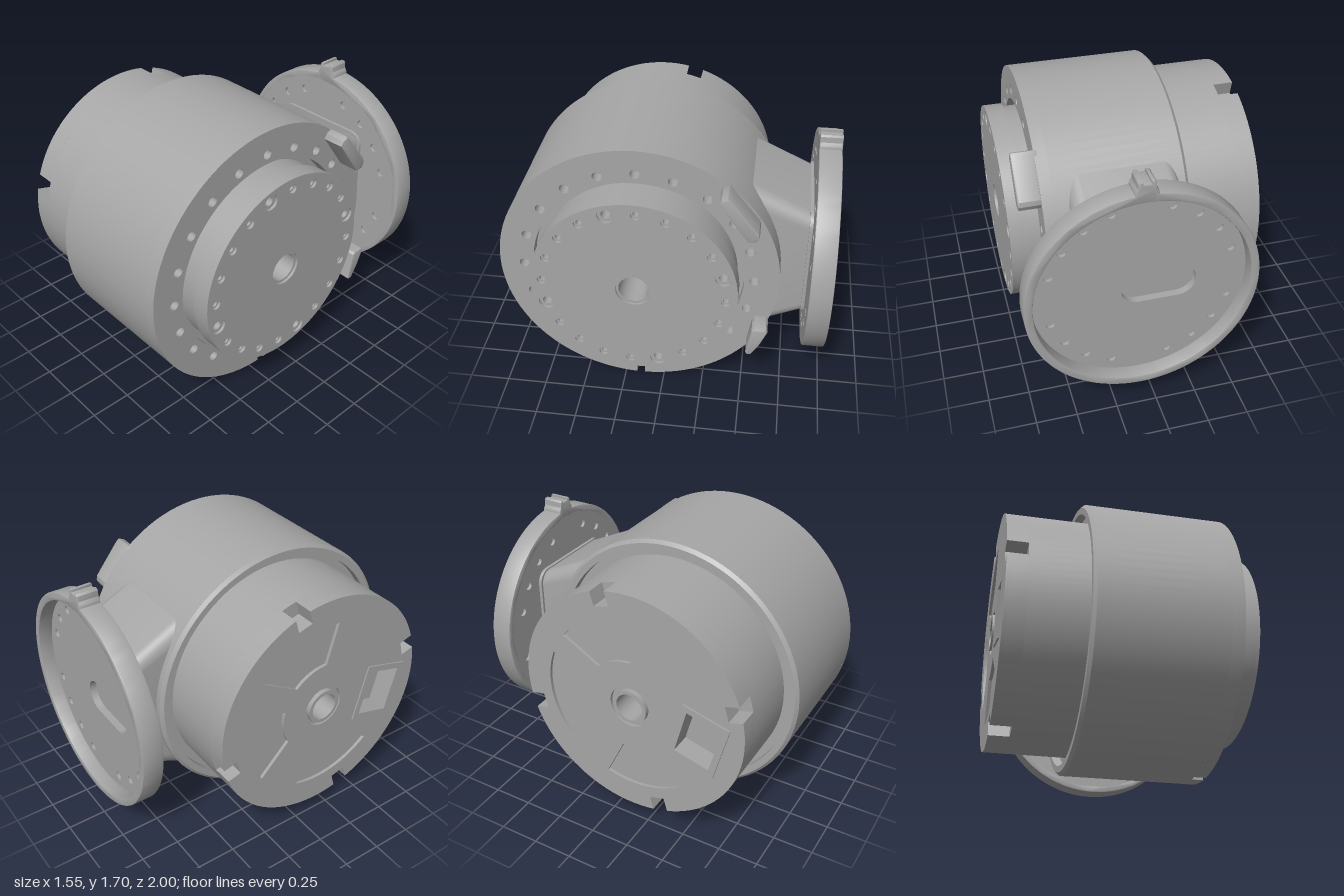
import * as THREE from 'three';
import { toCreasedNormals } from 'three/addons/utils/BufferGeometryUtils.js';

const CY = 0.852, CZ = 0.152; // height and depth of the main axis, which runs along x
const FX = 0.09, FY = 0.86; // centre of the rear mounting flange
const RAD = Math.PI / 180;

export function createModel() {
  const group = new THREE.Group();
  group.name = 'actuator';
  const metal = new THREE.MeshStandardMaterial({ color: 0xa6a6a6 });
  metal.name = 'grey metal';

  const add = (name, geometry) => {
    const mesh = new THREE.Mesh(toCreasedNormals(geometry, 0.5), metal);
    mesh.name = name;
    group.add(mesh);
    return mesh;
  };

  // Polar point: angle in degrees from up, positive towards the back (or +x on the flange)
  const polar = (r, deg) => new THREE.Vector2(Math.sin(deg * RAD) * r, Math.cos(deg * RAD) * r);
  const arc = (r, a, b, n) => Array.from({ length: n + 1 }, (_, i) => polar(r, a + ((b - a) * i) / n));
  const circle = (r, n = 96, c = new THREE.Vector2()) => arc(r, 0, 360 - 360 / n, n - 1).map((p) => p.add(c));
  // Outlines run counter-clockwise and holes clockwise, so that all walls face outwards
  const wind = (points, clockwise) =>
    THREE.ShapeUtils.isClockWise(points) === clockwise ? points : points.slice().reverse();
  const shapeOf = (points, holes = []) => {
    const s = new THREE.Shape(wind(points, false));
    s.holes = holes.map((h) => new THREE.Path(wind(h, true)));
    return s;
  };
  const extrude = (shape, depth, bevel = 0) =>
    new THREE.ExtrudeGeometry(shape, {
      depth: depth - 2 * bevel, bevelEnabled: bevel > 0, bevelSize: bevel,
      bevelThickness: bevel, bevelOffset: -bevel, bevelSegments: 2,
    }).translate(0, 0, bevel);
  // Plate across the main axis; shape x points to the back
  const plateX = (name, shape, x0, x1, bevel) =>
    add(name, extrude(shape, x1 - x0, bevel).rotateY(Math.PI / 2).translate(x0, CY, CZ));
  // Plate of the mounting flange, across z
  const plateZ = (name, shape, z0, z1, bevel) =>
    add(name, extrude(shape, z1 - z0, bevel).translate(FX, FY, z0));
  // Turned part around the main axis from a closed [radius, x] profile
  const turned = (name, profile) => {
    const pts = [...profile, profile[0]].map(([r, x]) => new THREE.Vector2(r, x));
    return add(name, new THREE.LatheGeometry(pts, 96).rotateZ(-Math.PI / 2).translate(0, CY, CZ));
  };

  // Main housing drum with a recess around the rear housing
  turned('mainHousing', [
    [0.09, -0.24], [0.79, -0.24], [0.79, -0.295], [0.83, -0.295],
    [0.85, -0.275], [0.85, 0.5], [0.09, 0.5],
  ]);

  // Front rim of the drum with its bolt circle and bottom notch
  const rim = [
    ...arc(0.85, 181.7, 538.3, 96),
    new THREE.Vector2(0.025, -0.785), new THREE.Vector2(-0.025, -0.785),
  ];
  const rimHoles = Array.from({ length: 20 }, (_, i) => circle(0.03, 18, polar(0.7, i * 18)));
  plateX('frontRim', shapeOf(rim, [circle(0.64), ...rimHoles]), 0.5, 0.573);

  // Output flange: turned hub, then two drilled plates forming stepped holes
  turned('outputHub', [
    [0.09, 0.49], [0.595, 0.49], [0.595, 0.64], [0.615, 0.64], [0.615, 0.66], [0.09, 0.66],
  ]);
  const outputHoles = (small, large) => Array.from({ length: 20 }, (_, i) =>
    circle(i % 5 === 4 ? large : small, 18, polar(0.547, 3 + i * 18)));
  plateX('outputFlange', shapeOf(circle(0.615), [circle(0.09, 40), ...outputHoles(0.018, 0.028)]), 0.66, 0.735);
  plateX('outputFace', shapeOf(circle(0.615), [circle(0.105, 40), ...outputHoles(0.029, 0.048)]), 0.735, 0.752);

  // Rear housing, notched at its end
  turned('rearHousing', [[0.09, -0.64], [0.737, -0.64], [0.737, -0.23], [0.09, -0.23]]);
  const R = 0.737, floor = 0.647;
  const half = (r) => Math.asin(0.05 / r) / RAD;
  const notched = [];
  for (let k = 0; k < 4; k++) {
    const a = 15.5 + 90 * k;
    notched.push(
      polar(floor, a - half(floor)), polar(floor, a + half(floor)),
      ...arc(R, a + half(R), a + 90 - half(R), 24),
    );
  }
  // Tilted rectangle for the connector window
  const rect = (w, h) => [[-1, -1], [1, -1], [1, 1], [-1, 1]].map(([u, v]) =>
    new THREE.Vector2((u * w) / 2, (v * h) / 2)
      .rotateAround(new THREE.Vector2(), 15 * RAD).add(new THREE.Vector2(-0.45, -0.075)));
  const sectors = [22, 98, 192].map((a) => [
    ...arc(0.57, a - 30, a + 30, 20), ...arc(0.3, a + 23, a - 23, 14),
  ]);
  const windowHole = rect(0.23, 0.3);
  plateX('rearEnd', shapeOf(notched, [circle(0.09, 40), windowHole]), -0.745, -0.64);
  plateX('rearCover', shapeOf(notched, [circle(0.135, 40), windowHole, ...sectors]), -0.765, -0.745);
  plateX('connectorFrame', shapeOf(rect(0.31, 0.38), [windowHole]), -0.775, -0.76);
  turned('rearBushing', [[0.088, -0.775], [0.112, -0.775], [0.112, -0.7], [0.088, -0.7]]);

  // Two stop lugs on the front rim
  const lugs = {
    upperLug: [[0.48, 0.62], [0.495, 0.65], [0.53, 0.667], [0.55, 0.65], [0.71, 0.45],
      [0.715, 0.42], [0.7, 0.39], [0.65, 0.385]],
    lowerLug: [[0.675, -0.465], [0.685, -0.478], [0.71, -0.475], [0.76, -0.39], [0.8, -0.29],
      [0.79, -0.273], [0.72, -0.273], [0.705, -0.285]],
  };
  for (const [name, pts] of Object.entries(lugs))
    plateX(name, shapeOf(pts.map(([u, v]) => new THREE.Vector2(u, v))), 0.55, 0.705, 0.01);

  // Slot running through the mounting flange into the neck
  const slot = [
    ...arc(0.105, 0, 180, 14).map((p) => p.add(new THREE.Vector2(0.01, -0.015))),
    ...arc(0.105, 180, 360, 14).map((p) => p.add(new THREE.Vector2(-0.23, -0.015))),
  ];

  // Neck: rounded rectangle that grows taller towards the drum
  const corner = 0.08, hx = 0.33, hy = 0.36;
  const section = [[1, 1, 0], [1, -1, 90], [-1, -1, 180], [-1, 1, 270]].flatMap(([sx, sy, a]) =>
    arc(corner, a, a + 90, 8).map((p) =>
      p.add(new THREE.Vector2(sx * (hx - corner), sy * (hy - corner)))));
  const neck = extrude(shapeOf(section, [slot]), 0.565);
  const pos = neck.attributes.position;
  for (let i = 0; i < pos.count; i++) pos.setY(i, pos.getY(i) * (1 + (0.486 * pos.getZ(i)) / hy));
  add('neck', neck.translate(FX, FY, -0.865));
  // Slight collar where the neck meets the flange
  const collar = section.map((p) => p.clone().multiplyScalar(1.05));
  plateZ('neckCollar', shapeOf(collar, [slot]), -0.87, -0.845);

  // Rear mounting flange: rounded rim with index tab
  const tab = [[-0.065, 0.7], [-0.052, 0.72], [-0.05, 0.755], [-0.04, 0.765], [-0.022, 0.765], [-0.022, 0.75]];
  const outline = [
    ...arc(0.687, 5.6, 354.4, 96),
    ...tab.map(([x, y]) => new THREE.Vector2(x, y)),
    ...tab.slice().reverse().map(([x, y]) => new THREE.Vector2(-x, y)),
  ];
  plateZ('mountingRim', shapeOf(outline, [circle(0.635)]), -1, -0.865, 0.008);

  // Sunken flange plate, with blind bolt holes on both faces
  const flangeHoles = [];
  for (let i = 0; i < 20; i++) if (i % 5) flangeHoles.push(circle(0.027, 18, polar(0.555, i * 18)));
  const disc = circle(0.65);
  plateZ('flangeBackFace', shapeOf(disc, [slot, ...flangeHoles]), -0.91, -0.89);
  plateZ('flangeCore', shapeOf(disc, [slot]), -0.89, -0.885);
  plateZ('flangeFrontFace', shapeOf(disc, [slot, ...flangeHoles]), -0.885, -0.865);

  return group;
}
